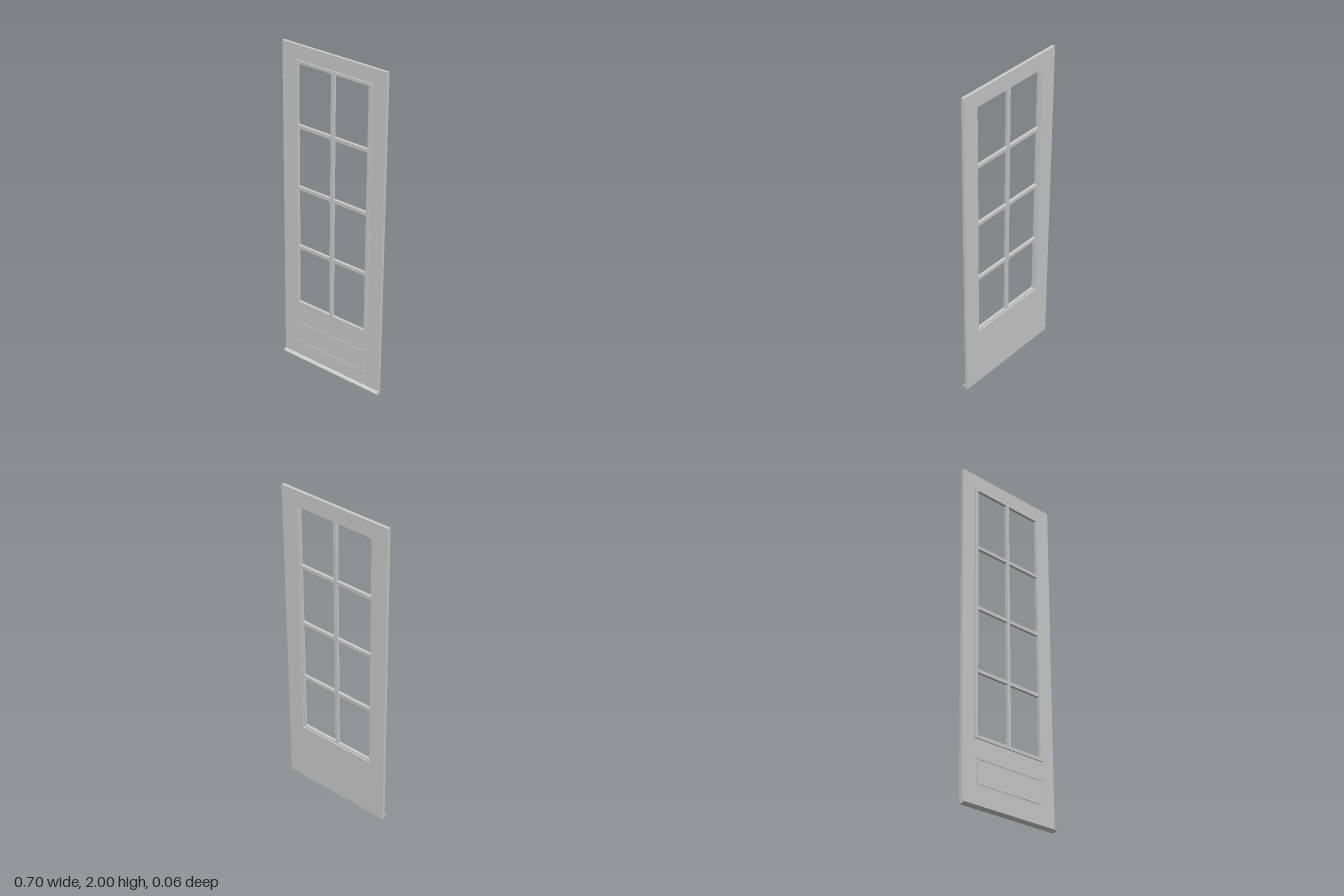
import * as THREE from 'three';

const material = new THREE.MeshStandardMaterial({ color: 0xcccccc, flatShading: true });

// Rectangle outline from half width and vertical range
function trace(path, hw, y0, y1) {
  path.moveTo(-hw, y0);
  path.lineTo(hw, y0);
  path.lineTo(hw, y1);
  path.lineTo(-hw, y1);
  path.closePath();
  return path;
}

// Rectangular plate with rectangular holes, spanning z0..z1
function plate(name, outer, holes, z0, z1) {
  const shape = trace(new THREE.Shape(), ...outer);
  for (const h of holes) shape.holes.push(trace(new THREE.Path(), ...h));
  const geo = new THREE.ExtrudeGeometry(shape, { depth: z1 - z0, bevelEnabled: false });
  geo.translate(0, 0, z0);
  const mesh = new THREE.Mesh(geo, material);
  mesh.name = name;
  return mesh;
}

function bar(name, w, h, d, x, y, z) {
  const mesh = new THREE.Mesh(new THREE.BoxGeometry(w, h, d), material);
  mesh.name = name;
  mesh.position.set(x, y, z);
  return mesh;
}

export function createModel() {
  const door = new THREE.Group();
  door.name = 'glazedDoor';

  const back = -0.008, front = 0.01, groove = 0.006;
  const outline = [0.352, 0, 2];
  const opening = [0.25, 0.39, 1.905];

  // Door leaf: solid back layer, face layer cut for the lower panel groove
  door.add(plate('doorLeaf', outline, [opening], back, groove));
  door.add(plate('doorFace', outline, [opening, [0.26, 0.115, 0.27]], groove, front));
  door.add(plate('lowerPanel', [0.242, 0.133, 0.252], [], groove, front));

  // Glazing frame overlapping the opening on the front
  door.add(plate('glazingFrame', [0.262, 0.38, 1.915], [[0.241, 0.4, 1.898]], front, front + 0.008));
  door.add(plate('glazingRebate', [0.25, 0.39, 1.905], [[0.241, 0.4, 1.898]], 0, front));

  // Glazing bars: one upright, three crossbars
  door.add(bar('verticalBar', 0.02, 1.5, 0.018, 0, 1.149, 0.008));
  for (const y of [0.77, 1.15, 1.528]) {
    door.add(bar('crossBar', 0.484, 0.02, 0.017, 0, y, 0.008));
  }

  // Weather bar along the bottom edge, sloping top
  const profile = new THREE.Shape();
  profile.moveTo(front - 0.004, 0);
  profile.lineTo(front + 0.012, 0.002);
  profile.lineTo(0.028, 0.008);
  profile.lineTo(0.028, 0.013);
  profile.lineTo(front, 0.022);
  profile.lineTo(front - 0.004, 0.022);
  const weather = new THREE.ExtrudeGeometry(profile, { depth: 0.704, bevelEnabled: false });
  weather.rotateY(-Math.PI / 2); // profile x -> z, extrusion -> -x
  weather.translate(0.352, 0, 0);
  const weatherBar = new THREE.Mesh(weather, material);
  weatherBar.name = 'weatherBar';
  door.add(weatherBar);

  // The door leans back slightly
  door.rotation.x = -0.011;
  const model = new THREE.Group();
  model.name = 'doorModel';
  model.add(door);
  return model;
}
